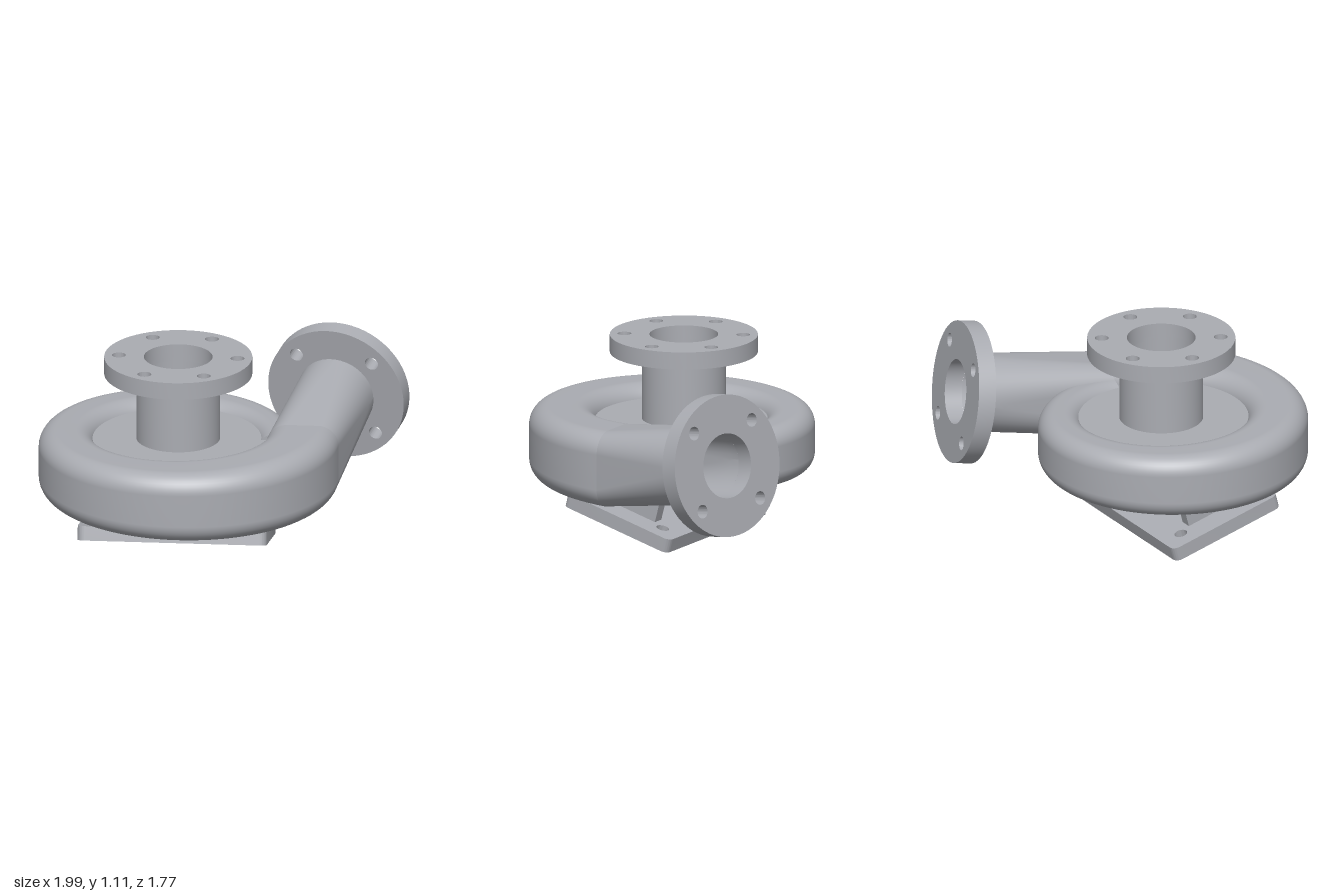
import * as THREE from 'three';
import { toCreasedNormals } from 'three/addons/utils/BufferGeometryUtils.js';

const CX = -0.233, CY = 0.517, CZ = 0.05; // centre of the pump casing
const TILT = Math.PI / 12;
const castMetal = new THREE.MeshStandardMaterial({ color: 0xaaacb2 });
castMetal.name = 'castMetal';

function addMesh(parent, name, geometry) {
  const mesh = new THREE.Mesh(geometry, castMetal);
  mesh.name = name;
  parent.add(mesh);
  return mesh;
}

// Rounded rectangle as a ring of points; it is a circle when w = h = 2r
function roundedRing(w, h, r, n = 10) {
  const ring = [];
  [[1, 1], [-1, 1], [-1, -1], [1, -1]].forEach(([sx, sy], q) => {
    for (let i = 0; i <= n; i++) {
      const a = (q + i / n) * Math.PI / 2;
      ring.push([sx * (w / 2 - r) + r * Math.cos(a), sy * (h / 2 - r) + r * Math.sin(a)]);
    }
  });
  return ring;
}

// Places a ring in space on the axes u and v
function place(ring, centre, u, v) {
  return ring.map(([a, b]) => centre.clone().addScaledVector(u, a).addScaledVector(v, b));
}

// Smooth skin over a list of rings, with optional flat end caps
function loft(rings, capped) {
  const n = rings[0].length, points = rings.flat(), index = [];
  for (let i = 0; i < rings.length - 1; i++) {
    for (let j = 0; j < n; j++) {
      const a = i * n + j, b = i * n + (j + 1) % n;
      index.push(a, a + n, b, b, a + n, b + n);
    }
  }
  if (capped) {
    const first = points.length, last = first + n;
    points.push(...rings[0], ...rings[rings.length - 1]);
    for (let j = 1; j < n - 1; j++) {
      index.push(first, first + j, first + j + 1, last, last + j + 1, last + j);
    }
  }
  const geometry = new THREE.BufferGeometry().setFromPoints(points);
  geometry.setIndex(index);
  geometry.computeVertexNormals();
  return geometry;
}

function addHole(shape, x, y, r) {
  shape.holes.push(new THREE.Path().absarc(x, y, r, 0, Math.PI * 2, true));
}

function extrude(shape, depth) {
  return toCreasedNormals(
    new THREE.ExtrudeGeometry(shape, { depth, bevelEnabled: false, curveSegments: 32 }), 0.6);
}

// Pipe flange along +z with a bore and a circle of bolt holes
function flangeGeometry(radius, bore, boltCircle, bolts, startAngle, depth) {
  const shape = new THREE.Shape().absarc(0, 0, radius, 0, Math.PI * 2, false);
  addHole(shape, 0, 0, bore);
  for (let i = 0; i < bolts; i++) {
    const a = startAngle + i * Math.PI * 2 / bolts;
    addHole(shape, boltCircle * Math.cos(a), boltCircle * Math.sin(a), 0.038);
  }
  return extrude(shape, depth);
}

export function createModel() {
  const model = new THREE.Group();
  model.name = 'centrifugalPump';
  const up = new THREE.Vector3(0, 1, 0);

  // Spiral casing: the section grows along one full turn
  const rings = [];
  for (let i = 0; i <= 96; i++) {
    const t = i / 96, a = t * Math.PI * 2;
    const inner = 0.44 + 0.05 * t, outer = 0.645 + 0.245 * t;
    const u = new THREE.Vector3(Math.cos(a), 0, -Math.sin(a));
    const centre = new THREE.Vector3(CX, CY, CZ).addScaledVector(u, (inner + outer) / 2);
    rings.push(place(roundedRing(outer - inner, 0.31 + 0.12 * t, 0.09 + 0.025 * t), centre, u, up));
  }
  addMesh(model, 'voluteCasing', loft(rings, true));

  // Central discs, inlet neck and inlet bore in one turned profile
  const profile = [[0, 0.39], [0.49, 0.39], [0.49, 0.638], [0.232, 0.638],
    [0.232, 1.04], [0.19, 1.04], [0.19, 0.42], [0, 0.42]].map(p => new THREE.Vector2(...p));
  addMesh(model, 'inletNeckAndDiscs',
    toCreasedNormals(new THREE.LatheGeometry(profile, 64), 0.6)).position.set(CX, 0, CZ - 0.005);

  const inletFlange = addMesh(model, 'inletFlange', flangeGeometry(0.41, 0.19, 0.329, 6, 0, 0.098));
  inletFlange.rotation.x = -Math.PI / 2;
  inletFlange.position.set(CX, 1.018, CZ - 0.005);

  // Outlet pipe from the end of the spiral to the tilted flange
  const n = new THREE.Vector3(0.24, 0.155, -0.958).normalize();
  const u = n.clone().cross(up).normalize(), v = u.clone().cross(n);
  const face = new THREE.Vector3(0.608, 0.66, -0.775);
  const back = face.clone().addScaledVector(n, -0.1);
  const start = new THREE.Vector3(CX + 0.69, CY, CZ), right = new THREE.Vector3(1, 0, 0);
  const pipeSkin = (inset, reach) => {
    const from = place(roundedRing(0.4 - 2 * inset, 0.43 - 2 * inset, 0.115 - inset / 2), start, right, up);
    const r = 0.218 - inset;
    const to = place(roundedRing(2 * r, 2 * r, r), back.clone().addScaledVector(n, reach), u, v);
    return Array.from({ length: 13 }, (_, i) => from.map((p, j) => p.clone().lerp(to[j], i / 12)));
  };
  addMesh(model, 'outletPipe', loft(pipeSkin(0, 0.01)));
  addMesh(model, 'outletBore', loft(pipeSkin(0.038, 0).map(ring => ring.reverse())));

  const outletFlange = addMesh(model, 'outletFlange',
    flangeGeometry(0.395, 0.18, 0.31, 4, Math.PI / 4, 0.1));
  outletFlange.position.copy(back);
  outletFlange.lookAt(face);

  // Tilted base plate with four bolt holes
  const plate = new THREE.Shape(roundedRing(1.05, 0.7, 0.04).map(p => new THREE.Vector2(...p)));
  for (const x of [-0.41, 0.41]) for (const y of [-0.23, 0.23]) addHole(plate, x, y, 0.036);
  const basePlate = addMesh(model, 'basePlate', extrude(plate, 0.08));
  basePlate.rotation.x = -Math.PI / 2 - TILT;
  basePlate.position.set(CX, 0.0965, 0.165);

  // Three ribs between the base plate and the casing
  const rib = new THREE.Shape([[0.375, 0.225], [0.33, 0.4], [-0.08, 0.4], [-0.006, 0.12]]
    .map(p => new THREE.Vector2(...p)));
  for (const offset of [-0.35, 0, 0.35]) {
    const mesh = addMesh(model, 'supportRib', extrude(rib, 0.066));
    mesh.rotation.y = -Math.PI / 2;
    mesh.position.x = CX + offset + 0.033;
  }
  return model;
}
